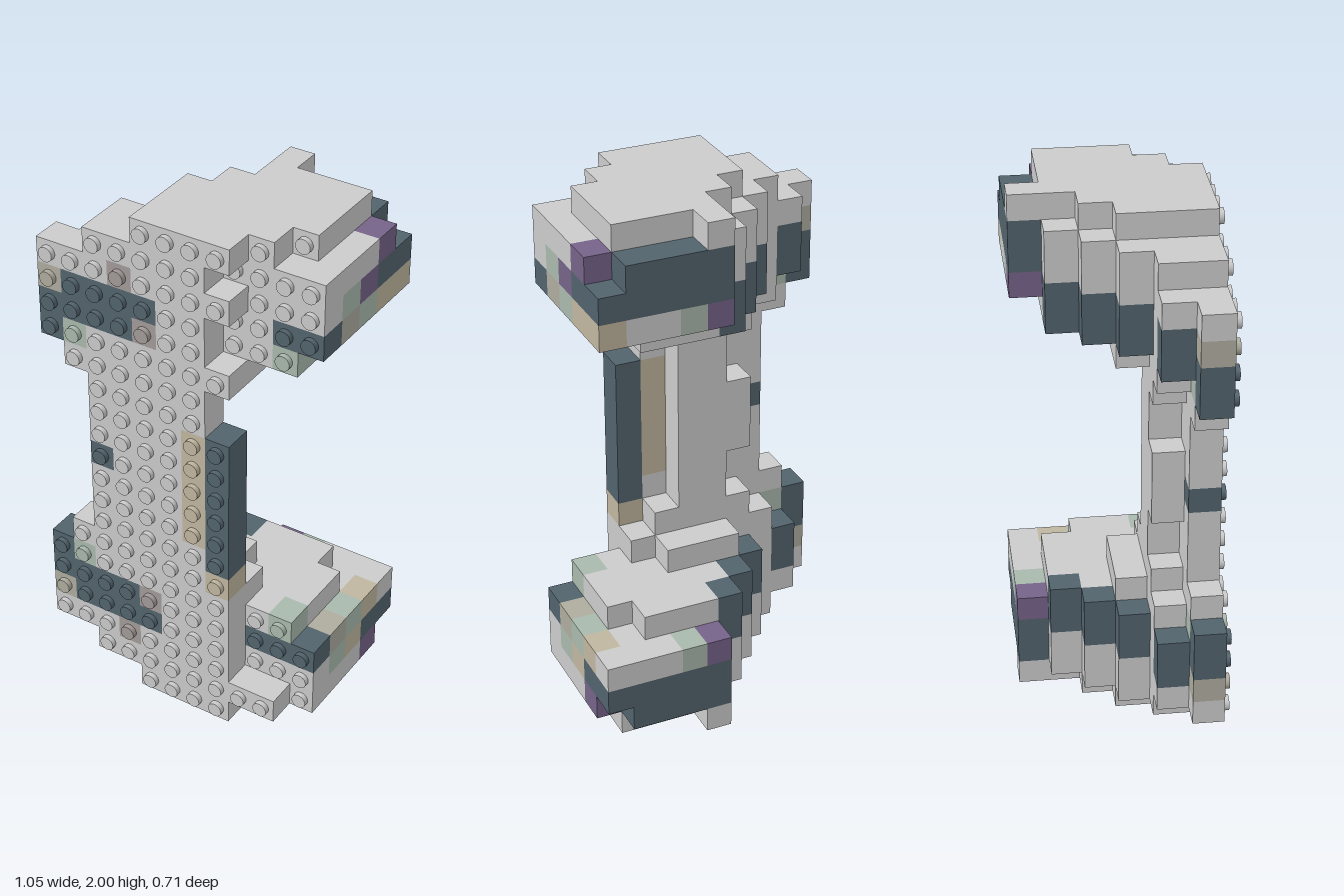
import * as THREE from 'three';
import { mergeGeometries } from 'three/addons/utils/BufferGeometryUtils.js';

const CELL = 2 / 21, DEPTH = CELL * 1.2, STUD_H = 0.02, STUD_R = 0.028;
const FRONT = (DEPTH * 6 - STUD_H) / 2;
const LAYERS = 6, ROWS = 21, COLS = 11;

// Column span of each depth layer (front to back), by row distance from the middle
const SPANS = [
  [[2, 7], [3, 5]],
  [[2, 7], [3, 5]],
  [[2, 7], [4, 5]],
  [[2, 7], [4, 5]],
  [[1, 7], [3, 6]],
  [[0, 7], [2, 7], [4, 6]],
  [[0, 7], [1, 9], [3, 9], [4, 9], [5, 8]],
  [[0, 7], [1, 10], [3, 10], [4, 10], [5, 10], [6, 10]],
  [[0, 7], [1, 10], [3, 10], [4, 10], [5, 10], [6, 10]],
  [[2, 6], [2, 10], [3, 10], [4, 10], [5, 10], [6, 9]],
  [[4, 7], [4, 8], [4, 9], [5, 9], [6, 9], [6, 6]],
];
// Rows whose front layer ends at a different column
const FRONT_END = { 1: 9, 13: 6, 14: 6, 16: 6, 17: 6 };

const COLORS = {
  grey: 0xcccccc, navy: 0x52636d, purple: 0x766389, sage: 0xa9b9ad,
  tan: 0xc0b6a0, olive: 0xaeac9f, taupe: 0xa29a98,
};

function filled(c, r, l) {
  if (r < 0 || r >= ROWS || l < 0 || l >= LAYERS) return false;
  const span = SPANS[Math.abs(r - 10)][l];
  if (!span) return false;
  const end = l === 0 && r in FRONT_END ? FRONT_END[r] : span[1];
  return c >= span[0] && c <= end;
}

// Colour of one brick cell
function colorOf(c, r, l) {
  const d = Math.abs(r - 10), top = r > 10;
  if (d <= 4) {
    if (l > 0) return 'grey';
    if (c === 7) return r === 6 ? 'tan' : 'navy';
    if (c === 6 && r >= 8 && r <= 12) return 'tan';
    return c === 2 && r === 10 ? 'navy' : 'grey';
  }
  if (d === 5 && l === 0) return ['navy', 'sage'][c] || 'grey';
  if (d === 6) {
    if (c === 9 && l === 1) return 'sage';
    if (l === 0) return c < 4 ? 'navy' : c === 4 ? 'taupe' : 'grey';
    return c <= SPANS[6][l][0] ? 'navy' : 'grey';
  }
  if (d === 7) {
    if (l === 0) return c === 0 ? 'olive' : c < 5 ? 'navy' : 'grey';
    if (l === 1 && c >= (top ? 9 : 8)) return 'navy';
    if (c === 10) return ['', '', 'olive', 'sage', 'tan', top ? 'tan' : 'grey'][l];
    if (l === 5) return c === 6 ? 'purple' : c === 7 ? 'sage' : 'grey';
    return c <= SPANS[7][l][0] ? 'navy' : 'grey';
  }
  if (d === 8) {
    if (l === 0) return c === 3 ? 'taupe' : 'grey';
    if (l === 5) return 'navy';
    if (c === 10) return ['', 'grey', 'sage', top ? 'purple' : 'tan', 'navy'][l];
  }
  if (d === 9) {
    if (l === 5) return 'navy';
    if (l === 4 && c === 10) return 'purple';
  }
  return 'grey';
}

// One outward face of a cell: step to the neighbour, then size and turn
const H = Math.PI / 2;
const FACES = [
  { n: [1, 0, 0], w: DEPTH, h: CELL, rx: 0, ry: H },
  { n: [-1, 0, 0], w: DEPTH, h: CELL, rx: 0, ry: -H },
  { n: [0, 1, 0], w: CELL, h: DEPTH, rx: -H, ry: 0 },
  { n: [0, -1, 0], w: CELL, h: DEPTH, rx: H, ry: 0 },
  { n: [0, 0, 1], w: CELL, h: CELL, rx: 0, ry: 0 },
  { n: [0, 0, -1], w: CELL, h: CELL, rx: 0, ry: Math.PI },
];

export function createModel() {
  const model = new THREE.Group();
  model.name = 'brickModel';
  const materials = {};
  for (const k in COLORS) materials[k] = new THREE.MeshStandardMaterial({ color: COLORS[k] });

  const sections = [['lowerEnd', 0, 5], ['shaft', 6, 14], ['upperEnd', 15, 20]];
  for (const [name, first, last] of sections) {
    const group = new THREE.Group();
    group.name = name;
    const bricks = {}, studs = {};
    for (let r = first; r <= last; r++)
      for (let l = 0; l < LAYERS; l++)
        for (let c = 0; c < COLS; c++) {
          if (!filled(c, r, l)) continue;
          const color = colorOf(c, r, l);
          const x = (c - 5) * CELL, y = (r + 0.5) * CELL, z = FRONT - (l + 0.5) * DEPTH;
          // Brick walls, only where the neighbouring cell is empty
          for (const { n, w, h, rx, ry } of FACES) {
            if (filled(c + n[0], r + n[1], l - n[2])) continue;
            (bricks[color] ||= []).push(new THREE.PlaneGeometry(w, h).rotateX(rx).rotateY(ry)
              .translate(x + n[0] * CELL / 2, y + n[1] * CELL / 2, z + n[2] * DEPTH / 2));
          }
          // Round stud on every exposed front
          if (!filled(c, r, l - 1)) {
            (studs[color] ||= []).push(new THREE.CylinderGeometry(STUD_R, STUD_R, STUD_H, 20)
              .rotateX(H).translate(x, y, z + DEPTH / 2 + STUD_H / 2));
          }
        }
    for (const [part, set] of [['Bricks', bricks], ['Studs', studs]])
      for (const color in set) {
        const mesh = new THREE.Mesh(mergeGeometries(set[color]), materials[color]);
        mesh.name = color + part;
        group.add(mesh);
      }
    model.add(group);
  }
  return model;
}
